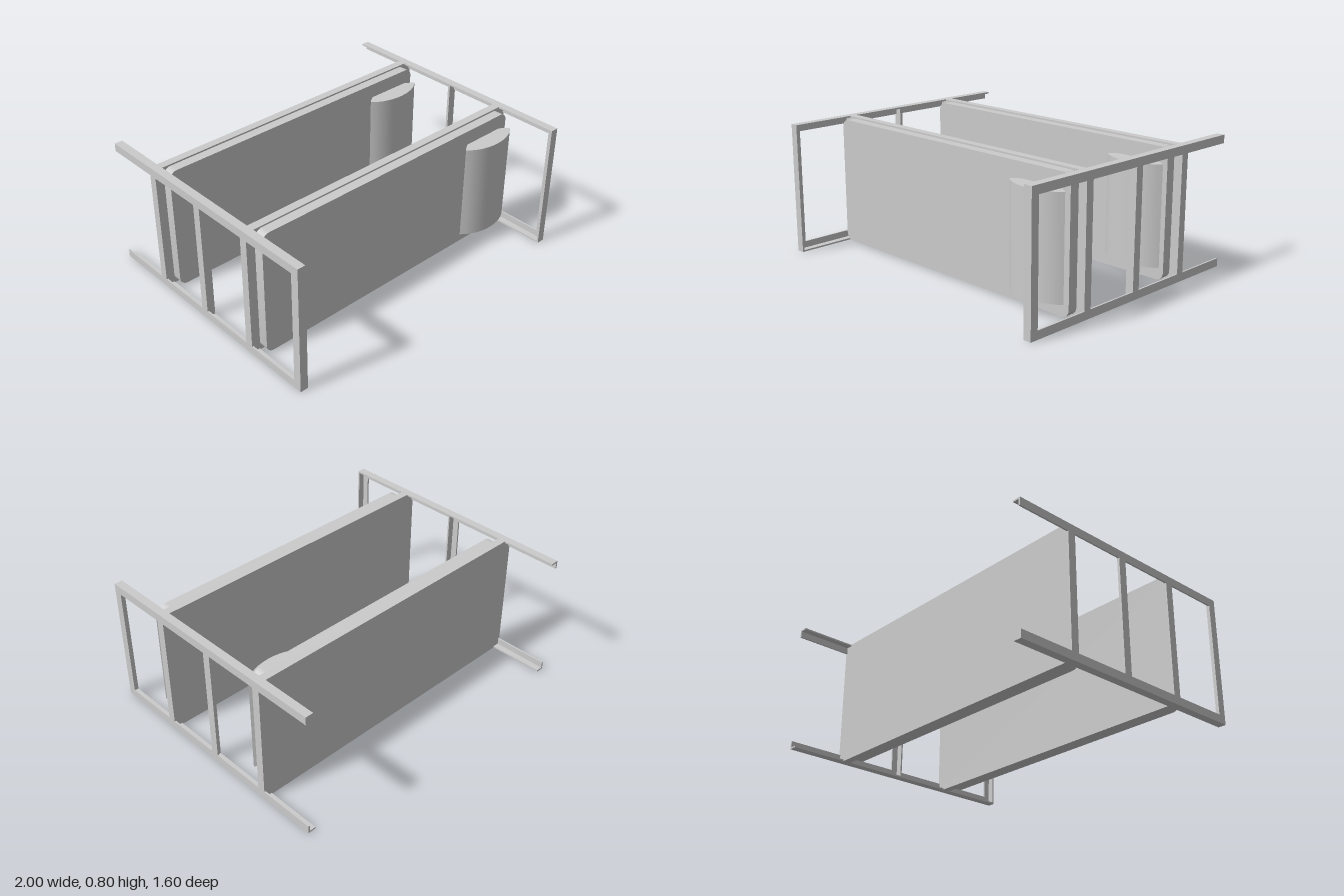
import * as THREE from 'three';
import { toCreasedNormals } from 'three/addons/utils/BufferGeometryUtils.js';

const grey = new THREE.MeshStandardMaterial({ color: 0xcccccc });
const W = 0.05; // angle bar width
const T = 0.01; // angle bar plate thickness

function add(parent, name, geometry, x = 0, y = 0, z = 0) {
  const mesh = new THREE.Mesh(geometry, grey);
  mesh.name = name;
  mesh.position.set(x, y, z);
  parent.add(mesh);
  return mesh;
}

// Box given by its lower and upper limits
function block(parent, name, [x0, x1], [y0, y1], [z0, z1]) {
  return add(parent, name, new THREE.BoxGeometry(x1 - x0, y1 - y0, z1 - z0),
    (x0 + x1) / 2, (y0 + y1) / 2, (z0 + z1) / 2);
}

// Extruded outline with smooth curves and sharp rims
function extrude(shape, depth) {
  const g = new THREE.ExtrudeGeometry(shape, { depth, bevelEnabled: false, curveSegments: 12 });
  return toCreasedNormals(g, 0.6);
}

// Mattress outline in x and y, with rounded corners
function mattressGeometry() {
  const a = 0.945, lo = 0.01, hi = 0.79, r = 0.05;
  const s = new THREE.Shape();
  s.absarc(a - r, lo + r, r, -Math.PI / 2, 0);
  s.absarc(a - r, hi - r, r, 0, Math.PI / 2);
  s.absarc(-a + r, hi - r, r, Math.PI / 2, Math.PI);
  s.absarc(-a + r, lo + r, r, Math.PI, Math.PI * 1.5);
  return extrude(s, 0.06);
}

// Lens-shaped pillow section, extruded along y
function pillowGeometry() {
  const s = new THREE.Shape();
  s.moveTo(-0.197, 0);
  s.bezierCurveTo(-0.1, -0.096, 0.1, -0.096, 0.197, 0);
  s.bezierCurveTo(0.1, 0.096, -0.1, 0.096, -0.197, 0);
  return extrude(s, 0.6).rotateX(-Math.PI / 2);
}

// Side frame of L-section bars: outer plates at x = side, flanges turned inward
function sideFrame(side) {
  const frame = new THREE.Group();
  frame.name = side > 0 ? 'leftFrame' : 'rightFrame';
  const span = (a, b) => (side > 0 ? [a, b] : [-b, -a]);
  const outer = span(1 - T, 1), full = span(1 - W, 1);
  for (const [y0, flange] of [[0, 0], [0.8 - W, 0.8 - T]]) {
    block(frame, 'railPlate', outer, [y0, y0 + W], [-0.8, 0.8]);
    block(frame, 'railFlange', full, [flange, flange + T], [-0.8, 0.8]);
  }
  for (const z of [0.8, 0.4, 0, -0.4]) {
    block(frame, 'postPlate', outer, [0, 0.8], [z - W, z]);
    block(frame, 'postFlange', full, [0, 0.8], [z - T, z]);
  }
  return frame;
}

export function createModel() {
  const model = new THREE.Group();
  model.name = 'bunkBed';
  model.add(sideFrame(1), sideFrame(-1));

  // Two bunks: board, mattress and pillow
  const mattress = mattressGeometry();
  const pillow = pillowGeometry();
  for (const [name, z] of [['frontBunk', 0.4], ['backBunk', -0.4]]) {
    const bunk = new THREE.Group();
    bunk.name = name;
    block(bunk, 'board', [-0.99, 0.99], [0, 0.8], [-W, 0]);
    add(bunk, 'mattress', mattress);
    add(bunk, 'pillow', pillow, 0.747, 0.1, 0.1);
    bunk.position.z = z;
    model.add(bunk);
  }
  return model;
}
